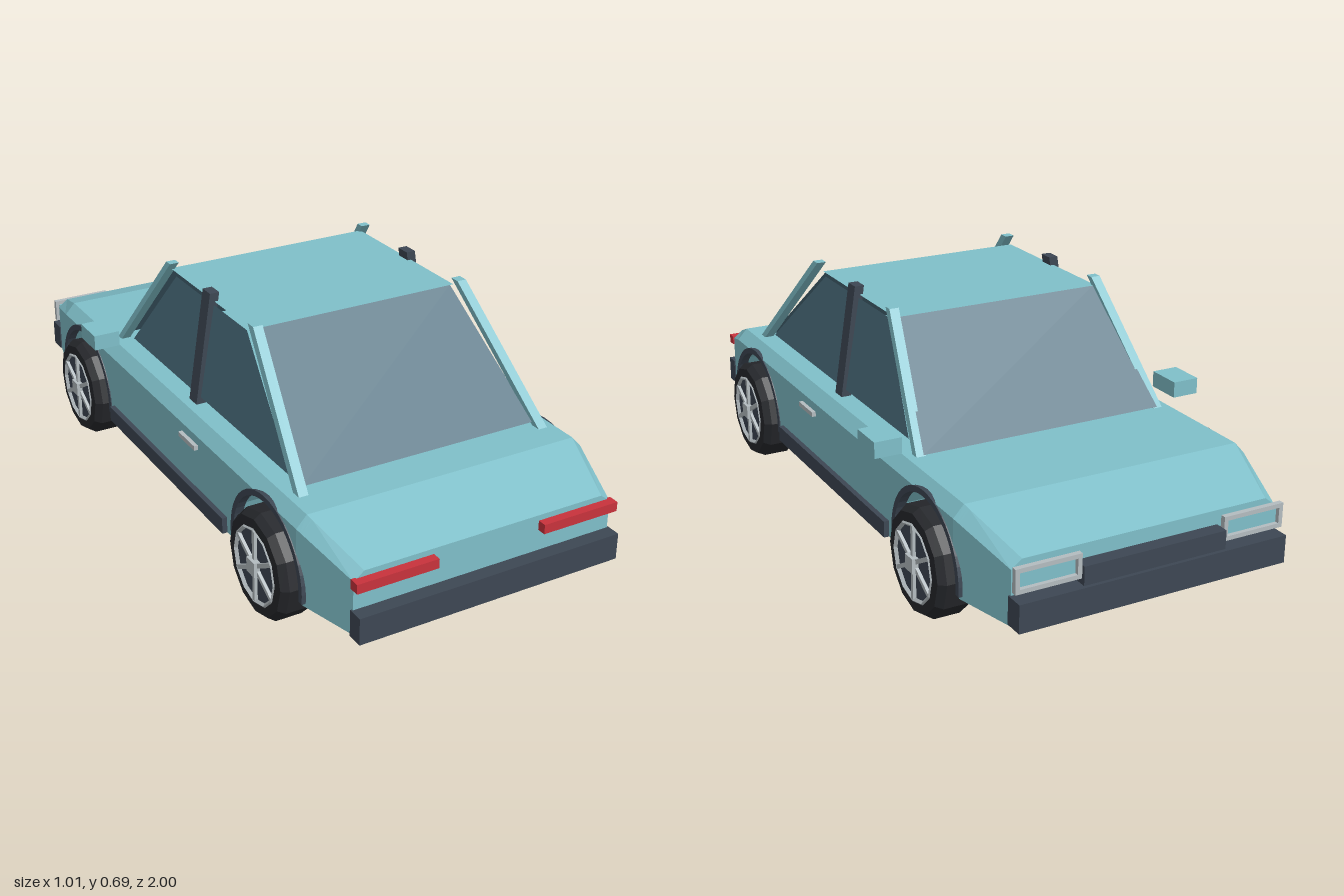
import * as THREE from 'three';

const mat = (color, side = THREE.FrontSide) =>
  new THREE.MeshStandardMaterial({ color, side, flatShading: true });

const paint = mat(0x7fbfc9);
const paintThin = mat(0x7fbfc9, THREE.DoubleSide);
const trim = mat(0x3d4753);
const glass = mat(0x4b6e7e, THREE.DoubleSide);
const rubber = mat(0x26282c);
const chrome = mat(0xb4bcc0);
const red = mat(0xc8323c);

// Skin a list of equal-length loops, each counterclockwise as seen from the far end
function loft(loops) {
  const pos = [];
  const quad = (a, b, c, d) => pos.push(...a, ...b, ...c, ...a, ...c, ...d);
  for (let s = 0; s < loops.length - 1; s++) {
    const A = loops[s], B = loops[s + 1], n = A.length;
    for (let i = 0; i < n; i++) quad(A[i], A[(i + 1) % n], B[(i + 1) % n], B[i]);
  }
  const first = loops[0], last = loops[loops.length - 1];
  for (let i = 1; i < first.length - 1; i++) {
    pos.push(...first[0], ...first[i + 1], ...first[i]);
    pos.push(...last[0], ...last[i], ...last[i + 1]);
  }
  return fromPositions(pos);
}

function fromPositions(pos) {
  const g = new THREE.BufferGeometry();
  g.setAttribute('position', new THREE.Float32BufferAttribute(pos, 3));
  g.computeVertexNormals();
  return g;
}

const pane = (a, b, c, d) => fromPositions([...a, ...b, ...c, ...a, ...c, ...d]);

function add(parent, name, geometry, material) {
  const m = new THREE.Mesh(geometry, material);
  m.name = name;
  parent.add(m);
  return m;
}

// Box given by its extents on each axis
function box(parent, name, material, [x0, x1], [y0, y1], [z0, z1]) {
  const g = new THREE.BoxGeometry(Math.abs(x1 - x0), y1 - y0, z1 - z0);
  return add(parent, name, g.translate((x0 + x1) / 2, (y0 + y1) / 2, (z0 + z1) / 2), material);
}

const WHEELS = [-0.59, 0.61], AXLE = 0.155, ARCH = 0.18, BOTTOM = 0.125;

// Chamfered body section at z, its underside at height yb
function section(z, yb) {
  const t = Math.max(0, (z - 0.77) / 0.19, (-0.75 - z) / 0.2);
  const w = 0.44 - 0.05 * t, ys = 0.337 - 0.06 * t, wt = 0.41 - 0.05 * t, yt = 0.37 - 0.07 * t;
  return [[w, yb, z], [w, ys, z], [wt, yt, z], [-wt, yt, z], [-w, ys, z], [-w, yb, z]];
}

function bodyGeometry() {
  const stations = [[-0.95, BOTTOM]];
  for (const c of WHEELS) {
    stations.push([c - ARCH, BOTTOM]);
    for (let i = 0; i <= 12; i++) {
      const a = Math.PI * (1 - i / 12);
      stations.push([c + ARCH * Math.cos(a), AXLE + ARCH * Math.sin(a)]);
    }
    stations.push([c + ARCH, BOTTOM]);
  }
  stations.push([-0.75, AXLE + Math.sqrt(ARCH ** 2 - 0.16 ** 2)]);
  stations.push([0.77, AXLE + Math.sqrt(ARCH ** 2 - 0.16 ** 2)], [0.96, BOTTOM]);
  // Stable sort keeps the vertical arch walls in order
  stations.sort((p, q) => p[0] - q[0]);
  return loft(stations.map(([z, yb]) => section(z, yb)));
}

// Leaning post: x and z extents at the foot and at the head
function post(parent, name, material, s, foot, head) {
  const ring = ([xa, xb, z0, z1, y]) => {
    const x0 = Math.min(s * xa, s * xb), x1 = Math.max(s * xa, s * xb);
    return [[x0, y, z0], [x0, y, z1], [x1, y, z1], [x1, y, z0]];
  };
  add(parent, name, loft([ring(foot), ring(head)]), material);
}

// Wheel with its axis along x and outer face towards +x
function wheel() {
  const g = new THREE.Group();
  g.name = 'wheel';
  const profile = [[0, -0.058], [0.135, -0.058], [0.152, -0.04], [0.152, 0.035], [0.138, 0.055], [0.112, 0.057], [0.108, 0.045], [0, 0.045]]
    .map(([r, y]) => new THREE.Vector2(r, y));
  add(g, 'tire', new THREE.LatheGeometry(profile, 12).rotateZ(-Math.PI / 2), rubber);
  add(g, 'rimDisc', new THREE.CylinderGeometry(0.106, 0.106, 0.01, 12).rotateZ(-Math.PI / 2).translate(0.045, 0, 0), trim);
  add(g, 'rimRing', new THREE.TorusGeometry(0.107, 0.007, 4, 12).rotateY(Math.PI / 2).translate(0.053, 0, 0), chrome);
  for (let i = 0; i < 6; i++) {
    const spoke = new THREE.BoxGeometry(0.012, 0.1, 0.012).translate(0.053, 0.055, 0).rotateX((i * Math.PI) / 3);
    add(g, 'spoke', spoke, chrome);
  }
  add(g, 'hubCap', new THREE.BoxGeometry(0.02, 0.042, 0.042).translate(0.058, 0, 0), chrome);
  return g;
}

// Flat half ring framing a wheel opening
function archTrim() {
  const s = new THREE.Shape();
  s.absarc(0, 0, 0.194, -0.1, Math.PI + 0.1, false);
  s.absarc(0, 0, 0.177, Math.PI + 0.1, -0.1, true);
  return new THREE.ExtrudeGeometry(s, { depth: 0.026, bevelEnabled: false, curveSegments: 12 })
    .rotateY(Math.PI / 2).translate(-0.013, 0, 0);
}

export function createModel() {
  const car = new THREE.Group();
  car.name = 'car';

  add(car, 'body', bodyGeometry(), paint);
  box(car, 'floorPan', trim, [-0.295, 0.295], [0.1, 0.13], [-0.93, 0.89]);

  // Cabin
  const cabin = new THREE.Group();
  cabin.name = 'cabin';
  car.add(cabin);
  const R = 0.67;
  add(cabin, 'roof', pane([-0.32, R, 0.317], [0.32, R, 0.317], [0.32, R, -0.182], [-0.32, R, -0.182]), paintThin);
  add(cabin, 'backWindow', pane([-0.36, 0.38, 0.66], [0.36, 0.38, 0.66], [0.31, R, 0.315], [-0.31, R, 0.315]), glass);
  add(cabin, 'frontWindow', pane([0.368, 0.375, -0.445], [-0.368, 0.375, -0.445], [-0.312, R, -0.18], [0.312, R, -0.18]), glass);
  for (const s of [1, -1]) {
    const lo = s * 0.37, hi = s * 0.322;
    const corners = [[lo, 0.39, 0.615], [lo, 0.39, -0.36], [hi, 0.66, -0.14], [hi, 0.66, 0.295]];
    if (s < 0) corners.reverse();
    add(cabin, 'sideWindow', pane(...corners), glass);
    post(cabin, 'backPillar', paint, s, [0.36, 0.388, 0.665, 0.695, 0.365], [0.307, 0.335, 0.325, 0.355, 0.695]);
    post(cabin, 'frontPillar', paint, s, [0.36, 0.388, -0.445, -0.42, 0.365], [0.307, 0.335, -0.178, -0.153, 0.695]);
    post(cabin, 'middlePillar', trim, s, [0.355, 0.385, 0.055, 0.1, 0.365], [0.305, 0.333, 0.055, 0.1, 0.695]);
  }

  // Bumpers and grille
  box(car, 'backBumper', trim, [-0.395, 0.395], [0.12, 0.196], [0.955, 1]);
  box(car, 'frontBumper', trim, [-0.395, 0.395], [0.13, 0.208], [-1, -0.945]);
  box(car, 'grille', trim, [-0.21, 0.21], [0.205, 0.26], [-0.99, -0.945]);

  // Parts on both sides
  for (const s of [1, -1]) {
    const span = (a, b) => [s * a, s * b];
    box(car, 'tailLight', red, span(0.16, 0.395), [0.257, 0.284], [0.955, 0.985]);
    // Headlight surround as an open frame
    const z = [-0.98, -0.965];
    box(car, 'headlightFrame', chrome, span(0.21, 0.395), [0.28, 0.292], z);
    box(car, 'headlightFrame', chrome, span(0.21, 0.395), [0.224, 0.236], z);
    box(car, 'headlightFrame', chrome, span(0.21, 0.222), [0.236, 0.28], z);
    box(car, 'headlightFrame', chrome, span(0.383, 0.395), [0.236, 0.28], z);
    box(car, 'headlight', paint, span(0.222, 0.383), [0.236, 0.28], [-0.968, -0.945]);

    box(car, 'sill', trim, span(0.41, 0.455), [0.125, 0.172], [-0.375, 0.39]);
    box(car, 'mirror', paint, span(0.428, 0.507), [0.39, 0.436], [-0.44, -0.335]);
    box(car, 'doorHandle', chrome, span(0.43, 0.452), [0.298, 0.312], [0.12, 0.22]);

    for (const c of WHEELS) {
      const w = wheel();
      w.position.set(s * 0.418, 0.152, c);
      if (s < 0) w.rotation.y = Math.PI;
      car.add(w);
      add(car, 'archTrim', archTrim(), trim).position.set(s * 0.43, AXLE, c);
    }
  }
  return car;
}
